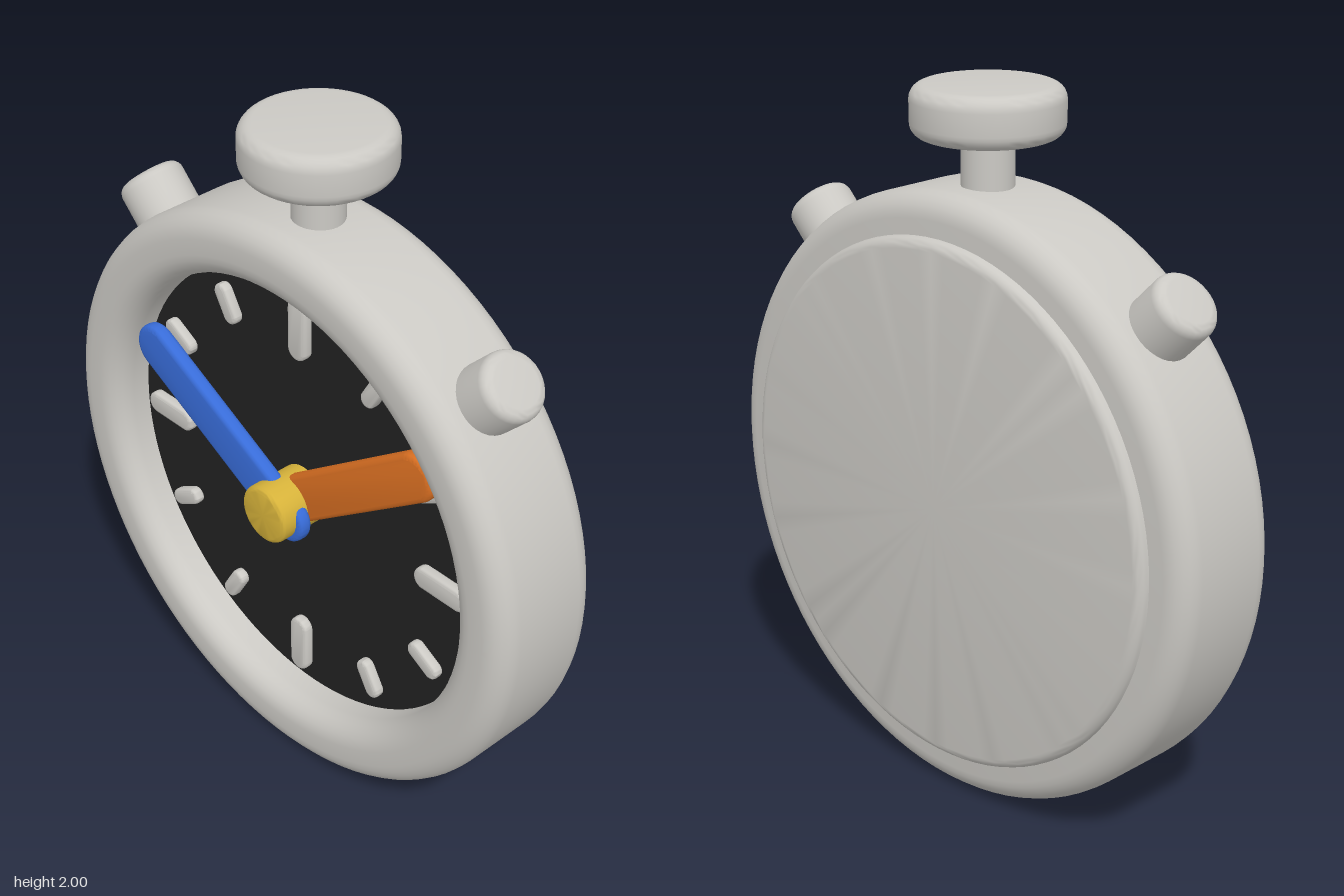
import * as THREE from 'three';
import { toCreasedNormals } from 'three/addons/utils/BufferGeometryUtils.js';

const R = 0.865; // case radius, also the height of the dial centre

function material(name, color) {
  const m = new THREE.MeshStandardMaterial({ color });
  m.name = name;
  return m;
}

// Lathe from corners [radius, height, fillet]; listed bottom to top, outside first
function turned(corners, segments = 64) {
  const pts = [];
  corners.forEach(([x, y, f], i) => {
    const p = new THREE.Vector2(x, y);
    if (!f) return pts.push(p);
    const toward = (c) => new THREE.Vector2(c[0], c[1]).sub(p).setLength(f).add(p);
    const a = toward(corners[i - 1]);
    const b = toward(corners[i + 1]);
    const centre = a.clone().add(b).sub(p);
    for (let k = 0; k <= 6; k++) {
      const t = (k / 6) * Math.PI / 2;
      pts.push(centre.clone()
        .addScaledVector(a.clone().sub(centre), Math.cos(t))
        .addScaledVector(b.clone().sub(centre), Math.sin(t)));
    }
  });
  return toCreasedNormals(new THREE.LatheGeometry(pts, segments), 0.6);
}

// Solid disc or knob with rounded rims
function knob(radius, y0, y1, bottomFillet, topFillet, segments) {
  return turned([[0, y0], [radius, y0, bottomFillet], [radius, y1, topFillet], [0, y1]], segments);
}

// Round-ended bar along +y from y0 to y1, z from 0 to depth, softened edges
function bar(width, y0, y1, depth, corner, bevel) {
  const w = width / 2 - bevel, a = y0 + bevel, b = y1 - bevel, c = Math.min(corner, w);
  const s = new THREE.Shape();
  s.absarc(w - c, a + c, c, -Math.PI / 2, 0);
  s.absarc(w - c, b - c, c, 0, Math.PI / 2);
  s.absarc(-w + c, b - c, c, Math.PI / 2, Math.PI);
  s.absarc(-w + c, a + c, c, Math.PI, Math.PI * 1.5);
  const g = new THREE.ExtrudeGeometry(s, {
    depth: depth - 2 * bevel, bevelEnabled: true, bevelThickness: bevel,
    bevelSize: bevel, bevelSegments: 3, curveSegments: 8,
  });
  g.translate(0, 0, bevel);
  return toCreasedNormals(g, 0.7);
}

export function createModel() {
  const metal = material('brushed metal', 0xcbc9c4);
  const black = material('dial black', 0x222222);
  const blue = material('blue', 0x386cd8);
  const orange = material('orange', 0xd96f22);
  const gold = material('gold', 0xd6b23a);

  const model = new THREE.Group();
  model.name = 'stopwatch';
  const add = (parent, name, geometry, mat) => {
    const mesh = new THREE.Mesh(geometry, mat);
    mesh.name = name;
    parent.add(mesh);
    return mesh;
  };

  // Everything centred on the dial axis
  const watch = new THREE.Group();
  watch.name = 'watch';
  watch.position.y = R;
  model.add(watch);

  // Case with a recessed front, and the raised back cover
  const caseRing = turned([
    [0, -0.18], [R, -0.18, 0.07], [R, 0.18, 0.07], [0.68, 0.18, 0.07], [0.68, 0.04],
  ], 96);
  add(watch, 'case', caseRing.rotateX(Math.PI / 2), metal);
  add(watch, 'backCover', knob(0.75, -0.21, -0.17, 0.03, 0, 96).rotateX(Math.PI / 2), metal);
  add(watch, 'dial', new THREE.CylinderGeometry(0.681, 0.681, 0.02, 96).rotateX(Math.PI / 2), black)
    .position.z = 0.045;

  // Hour marks, longer at the quarters
  for (let i = 0; i < 12; i++) {
    const geometry = i % 3 === 0
      ? bar(0.067, 0.455, 0.643, 0.035, 0.025, 0.01)
      : bar(0.05, 0.513, 0.633, 0.035, 0.018, 0.01);
    const mark = add(watch, 'hourMark', geometry, metal);
    mark.position.z = 0.05;
    mark.rotation.z = (i * Math.PI) / 6;
  }

  // Hands and centre cap
  const hands = [
    ['orangeHand', orange, -54, 0.075],
    ['blueHand', blue, 61.3, 0.12],
  ];
  for (const [name, mat, degrees, z] of hands) {
    const hand = add(watch, name, bar(0.14, -0.11, 0.65, 0.045, 0.07, 0.015), mat);
    hand.position.z = z;
    hand.rotation.z = THREE.MathUtils.degToRad(degrees);
  }
  add(watch, 'centreCap', knob(0.087, 0.05, 0.21, 0, 0.015, 32).rotateX(Math.PI / 2), gold);

  // Side buttons at 45 degrees
  for (const side of [-1, 1]) {
    const button = add(watch, side > 0 ? 'leftButton' : 'rightButton',
      knob(0.095, 0.78, 0.99, 0, 0.03, 32), metal);
    button.rotation.z = (-side * Math.PI) / 4;
  }

  // Stem and crown
  add(model, 'stem', new THREE.CylinderGeometry(0.072, 0.072, 0.22, 32), metal).position.y = 1.77;
  add(model, 'crown', knob(0.207, 1.86, 2, 0.04, 0.04, 48), metal);

  return model;
}
